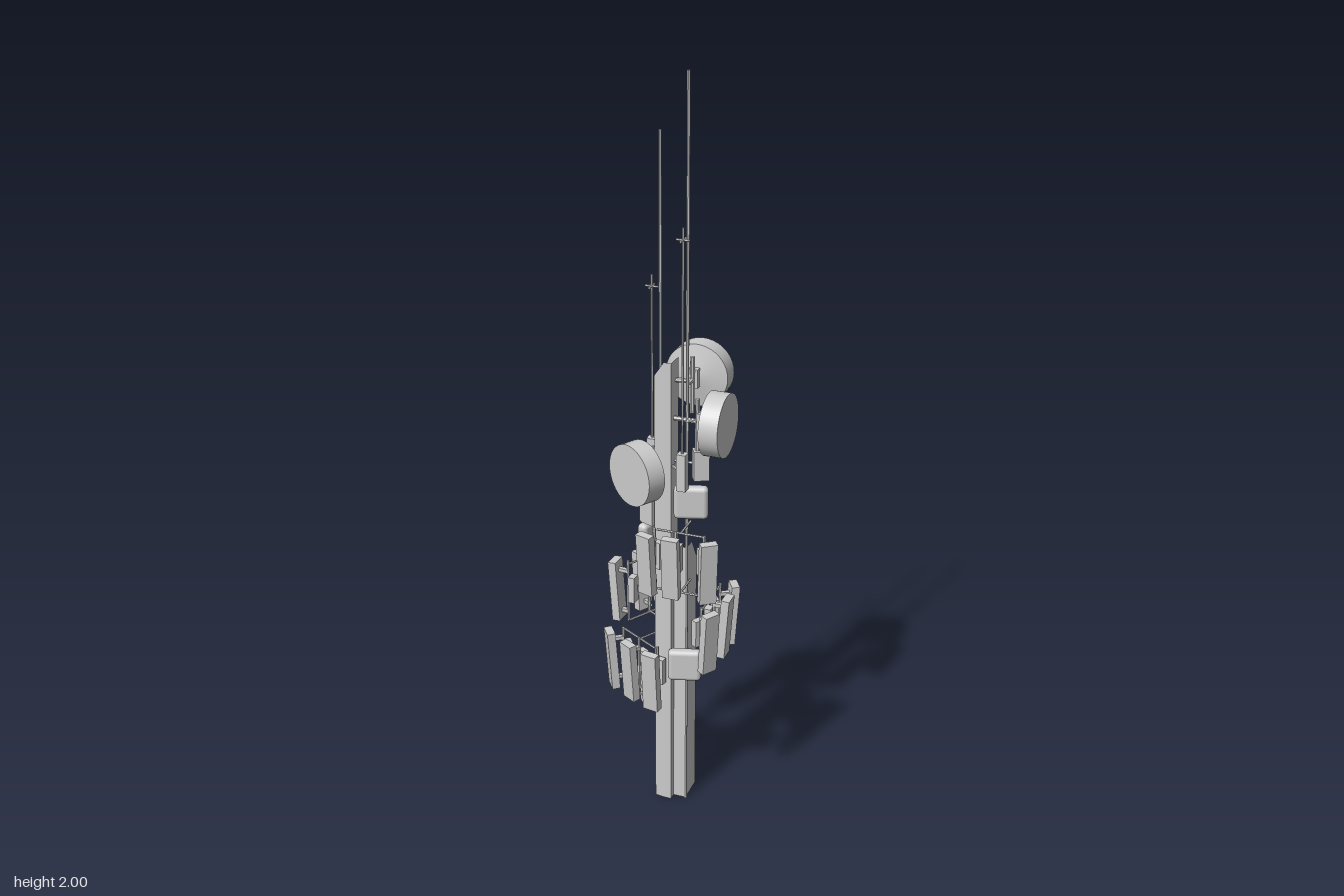
import * as THREE from 'three';
import { RoundedBoxGeometry } from 'three/addons/geometries/RoundedBoxGeometry.js';

const grey = new THREE.MeshStandardMaterial({ color: 0xcccccc, flatShading: true });
const smooth = new THREE.MeshStandardMaterial({ color: 0xcccccc });

function add(parent, name, geometry, pos = [0, 0, 0], yaw = 0, tilt = 0, material = grey) {
  const mesh = new THREE.Mesh(geometry, material);
  mesh.name = name;
  mesh.position.set(...pos);
  mesh.rotation.set(tilt, yaw, 0, 'YXZ');
  parent.add(mesh);
  return mesh;
}

const box = (parent, name, size, pos, yaw, tilt) =>
  add(parent, name, new THREE.BoxGeometry(...size), pos, yaw, tilt);

// Round bar between two points
function rod(parent, name, a, b, r, sides = 6) {
  const from = new THREE.Vector3(...a), to = new THREE.Vector3(...b);
  const dir = to.clone().sub(from);
  const mesh = add(parent, name, new THREE.CylinderGeometry(r, r, dir.length(), sides));
  mesh.position.copy(from).add(to).multiplyScalar(0.5);
  mesh.quaternion.setFromUnitVectors(new THREE.Vector3(0, 1, 0), dir.normalize());
  return mesh;
}

// Open-ended upright shaft; topAt gives the height of the cut top
function shaft(parent, name, outline, topAt) {
  const pos = [];
  outline.forEach((p, i) => {
    const q = outline[(i + 1) % outline.length];
    const a = [p[0], 0, p[1]], b = [q[0], 0, q[1]];
    const c = [q[0], topAt(...q), q[1]], d = [p[0], topAt(...p), p[1]];
    pos.push(...a, ...b, ...c, ...a, ...c, ...d);
  });
  const g = new THREE.BufferGeometry();
  g.setAttribute('position', new THREE.Float32BufferAttribute(pos, 3));
  g.computeVertexNormals();
  add(parent, name, g);
}

// Drum dish with a conical back, facing local +z; origin at the front centre
function dish(parent, name, pos, yaw) {
  const group = new THREE.Group();
  group.name = name;
  group.position.set(...pos);
  group.rotation.y = yaw;
  const R = 0.082, D = 0.05;
  const drum = add(group, 'dishDrum', new THREE.CylinderGeometry(R, R, D, 40), [0, 0, -D / 2], 0, 0, smooth);
  drum.rotation.x = Math.PI / 2;
  const cone = add(group, 'dishBack', new THREE.ConeGeometry(R, 0.016, 40, 1, true), [0, 0, -D - 0.008], 0, 0, smooth);
  cone.rotation.x = -Math.PI / 2;
  box(group, 'dishHub', [0.025, 0.05, 0.02], [0, 0, -D - 0.018]);
  rod(group, 'dishPipe', [0, -0.09, -D - 0.03], [0, 0.06, -D - 0.03], 0.006, 8);
  rod(group, 'dishArm', [0, 0, -D - 0.03], [0, 0, -D - 0.06], 0.006);
  parent.add(group);
}

// Sector frame: three tilted panels on pipes, held by two rails
function sector(parent, name, pos, yaw, panels) {
  const group = new THREE.Group();
  group.name = name;
  group.position.set(...pos);
  group.rotation.y = yaw;
  for (const [x, z, turn] of panels) {
    const unit = new THREE.Group();
    unit.name = 'panelUnit';
    unit.position.set(x, 0, z);
    unit.rotation.y = turn;
    box(unit, 'panelAntenna', [0.044, 0.172, 0.022], [0, 0, 0], 0, 0.07);
    rod(unit, 'panelPipe', [0, -0.09, -0.032], [0, 0.09, -0.032], 0.004);
    for (const y of [-0.06, 0.06]) box(unit, 'panelBracket', [0.012, 0.01, 0.028], [0, y, -0.02]);
    box(unit, 'radioUnit', [0.026, 0.075, 0.018], [0, 0.01, -0.046]);
    group.add(unit);
  }
  const xs = panels.map((p) => p[0]);
  const x0 = Math.min(...xs) + 0.015, x1 = Math.max(...xs) - 0.015;
  for (const y of [-0.085, 0.085]) {
    rod(group, 'rail', [x0, y, -0.036], [x1, y, -0.036], 0.003);
    rod(group, 'standOffArm', [0, y, -0.036], [0, y, -0.11], 0.003);
  }
  parent.add(group);
}

// Slim aerial with a small crosspiece near its tip
function aerial(parent, name, x, z, foot, top) {
  rod(parent, name, [x, foot, z], [x, top, z], 0.003);
  const y = top - 0.03;
  rod(parent, 'aerialCross', [x - 0.017, y, z], [x + 0.017, y, z], 0.003);
  rod(parent, 'aerialCross', [x, y, z - 0.017], [x, y, z + 0.017], 0.003);
  box(parent, 'aerialBase', [0.024, 0.1, 0.024], [x, foot, z]);
  rod(parent, 'aerialArm', [x, foot, z], [0, foot, 0.03], 0.004);
}

export function createModel() {
  const model = new THREE.Group();
  model.name = 'antennaMast';

  // Tall and short mast shafts with sloping tops
  shaft(model, 'tallShaft',
    [[-0.032, 0.046], [-0.005, 0.05], [0.015, 0.05], [0.015, 0], [-0.005, 0], [-0.032, 0.004]],
    (x) => (x < -0.02 ? 1.25 : 1.29));
  shaft(model, 'shortShaft',
    [[0, 0.03], [0.05, 0.03], [0.05, -0.01], [0.05, -0.045], [0.003, -0.045], [0, -0.01]],
    (x, z) => (z < -0.02 ? 0.72 : 0.78));

  // Whips running the full height, and shorter aerials
  rod(model, 'tallWhip', [0.05, 0, 0.03], [0.05, 2, 0.03], 0.004);
  rod(model, 'shortWhip', [-0.034, 0, -0.004], [-0.034, 1.85, -0.004], 0.004);
  aerial(model, 'frontAerial', 0.05, 0.064, 1.01, 1.64);
  aerial(model, 'backAerial', -0.065, -0.025, 1.0, 1.485);

  // Dishes and their links to the mast
  dish(model, 'backDish', [0.052, 1.235, -0.08], Math.PI);
  dish(model, 'sideDish', [0.157, 1.138, 0.03], Math.PI / 2);
  dish(model, 'frontDish', [-0.086, 0.985, 0.083], -Math.PI / 6);
  rod(model, 'dishLink', [0.052, 1.235, 0.01], [0, 1.235, 0.02], 0.006);
  rod(model, 'dishLink', [0.08, 1.138, 0.03], [0, 1.138, 0.03], 0.006);
  box(model, 'dishLink', [0.06, 0.05, 0.014], [-0.015, 0.985, 0.028], -0.1);

  // Panel sectors
  sector(model, 'frontSector', [0.055, 0.765, 0.124], 0,
    [[-0.079, 0.001, -0.32], [-0.013, 0, 0], [0.083, -0.009, 0.64]]);
  sector(model, 'rightRearSector', [-0.112, 0.61, -0.062], -2.09,
    [[-0.068, 0, -0.46], [0, 0, 0], [0.083, 0, 0.45]]);
  sector(model, 'rightFrontSector', [-0.09, 0.41, 0.083], -Math.PI / 6,
    [[-0.082, -0.003, -0.42], [0, 0, 0], [0.078, -0.01, 0.35]]);
  sector(model, 'leftSector', [0.153, 0.56, 0.025], Math.PI / 2,
    [[-0.085, -0.012, -0.55], [0.01, 0, 0], [0.085, -0.008, 0.55]]);

  // Rounded equipment cabinets: position, yaw
  const cabinets = [
    [[0.065, 0.918, 0.04], 0.3],
    [[0.055, 0.445, 0.055], 0.3],
    [[-0.072, 0.767, -0.03], -1.85],
    [[-0.065, 0.29, -0.045], -2.5],
  ];
  for (const [pos, yaw] of cabinets) {
    add(model, 'cabinet', new RoundedBoxGeometry(0.088, 0.09, 0.03, 2, 0.012), pos, yaw, 0, smooth);
    rod(model, 'cabinetArm', pos, [0.005, pos[1], 0.01], 0.005);
  }

  // Small junction boxes on the upper mast
  box(model, 'junctionBox', [0.04, 0.08, 0.03], [0.085, 1.02, 0.025], 0.5);
  box(model, 'junctionBox', [0.045, 0.07, 0.03], [-0.055, 0.865, 0.02], -0.4);
  box(model, 'junctionBox', [0.03, 0.08, 0.025], [0.07, 1.0, -0.015], -0.3);
  rod(model, 'junctionArm', [0.085, 1.02, 0.025], [0, 1.02, 0.025], 0.004);
  return model;
}
